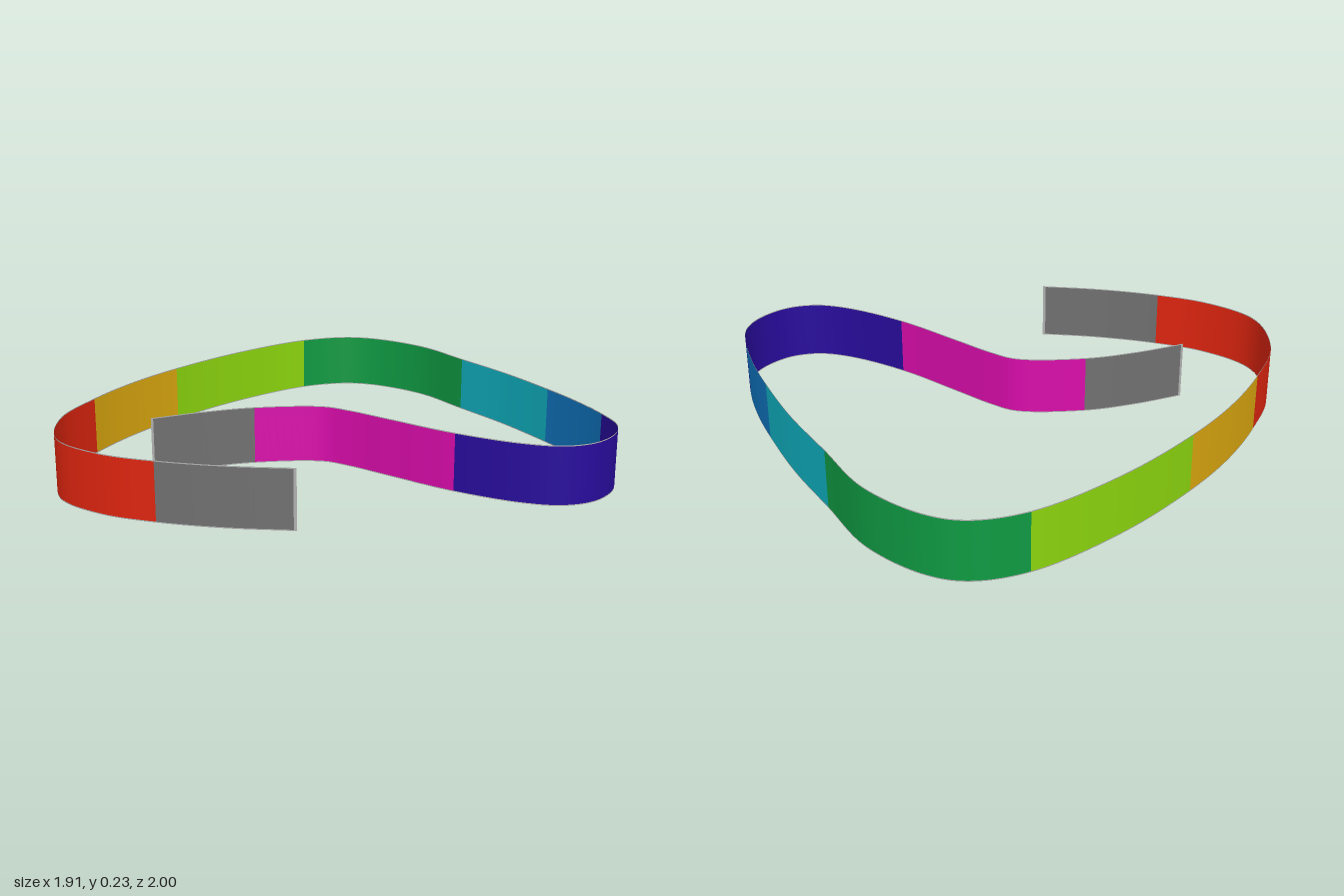
import * as THREE from 'three';

const HEIGHT = 0.23;   // ribbon height
const RIM = 0.004;     // pale edge along top and bottom
const END = 0.045;     // pale end tab, in curve spans

// Sections of the ribbon in order; each lists the plan points (x, z) from its start
const SECTIONS = [
  ['nearGreySection', 'grey', 0x707070, [[0.49, 0.527], [0.315, 0.7]]],
  ['redSection', 'red', 0xe0250f, [[0.113, 0.858], [-0.08, 0.965], [-0.31, 0.998], [-0.55, 0.848]]],
  ['mustardSection', 'mustard', 0xdca80f, [[-0.697, 0.618], [-0.81, 0.365]]],
  ['limeSection', 'lime', 0x8cd60e, [[-0.887, 0.099], [-0.948, -0.28]]],
  ['greenSection', 'green', 0x0f9a42, [[-0.943, -0.656], [-0.865, -0.845], [-0.75, -0.935], [-0.5, -0.998]]],
  ['cyanSection', 'cyan', 0x0fb0c0, [[-0.21, -0.972], [0.08, -0.943]]],
  ['blueSection', 'blue', 0x0f74be, [[0.365, -0.89], [0.55, -0.845]]],
  ['indigoSection', 'indigo', 0x280c9c, [[0.733, -0.782], [0.86, -0.715], [0.93, -0.62], [0.955, -0.48], [0.91, -0.365], [0.8, -0.275]]],
  ['magentaSection', 'magenta', 0xd80caa, [[0.55, -0.17], [0.255, -0.1], [0.08, -0.06], [-0.03, -0.015]]],
  ['farGreySection', 'grey', 0x707070, [[-0.188, 0.2], [-0.265, 0.39]]],
];
const LAST = [-0.32, 0.593];

export function createModel() {
  const group = new THREE.Group();
  group.name = 'ribbonTrack';

  const materials = {};
  const material = (name, color) => {
    if (!materials[name]) {
      materials[name] = new THREE.MeshStandardMaterial({ color, side: THREE.DoubleSide });
      materials[name].name = name;
    }
    return materials[name];
  };

  // Centre line of the whole ribbon
  const plan = [...SECTIONS.flatMap((s) => s[3]), LAST];
  const curve = new THREE.CatmullRomCurve3(plan.map(([x, z]) => new THREE.Vector3(x, 0, z)));
  const spans = plan.length - 1;

  // Upright strip along the curve, from span position a to b and height y0 to y1
  const addStrip = (name, mat, a, b, y0, y1) => {
    const steps = Math.max(1, Math.ceil((b - a) * 10));
    const pos = [], nor = [], idx = [];
    for (let i = 0; i <= steps; i++) {
      const u = (a + ((b - a) * i) / steps) / spans;
      const p = curve.getPoint(u), t = curve.getTangent(u);
      for (const y of [y0, y1]) {
        pos.push(p.x, y, p.z);
        nor.push(-t.z, 0, t.x);
      }
      if (i < steps) {
        const k = i * 2;
        idx.push(k, k + 2, k + 3, k, k + 3, k + 1);
      }
    }
    const geo = new THREE.BufferGeometry();
    geo.setAttribute('position', new THREE.Float32BufferAttribute(pos, 3));
    geo.setAttribute('normal', new THREE.Float32BufferAttribute(nor, 3));
    geo.setIndex(idx);
    const mesh = new THREE.Mesh(geo, mat);
    mesh.name = name;
    group.add(mesh);
  };

  // Coloured sections
  let start = 0;
  for (const [name, colorName, color, pts] of SECTIONS) {
    const end = start + pts.length;
    addStrip(name, material(colorName, color),
      Math.max(start, END), Math.min(end, spans - END), RIM, HEIGHT - RIM);
    start = end;
  }

  // Pale rims and end tabs
  const pale = material('paleGrey', 0xb0b0b0);
  addStrip('bottomRim', pale, END, spans - END, 0, RIM);
  addStrip('topRim', pale, END, spans - END, HEIGHT - RIM, HEIGHT);
  addStrip('nearEndTab', pale, 0, END, 0, HEIGHT);
  addStrip('farEndTab', pale, spans - END, spans, 0, HEIGHT);

  return group;
}
